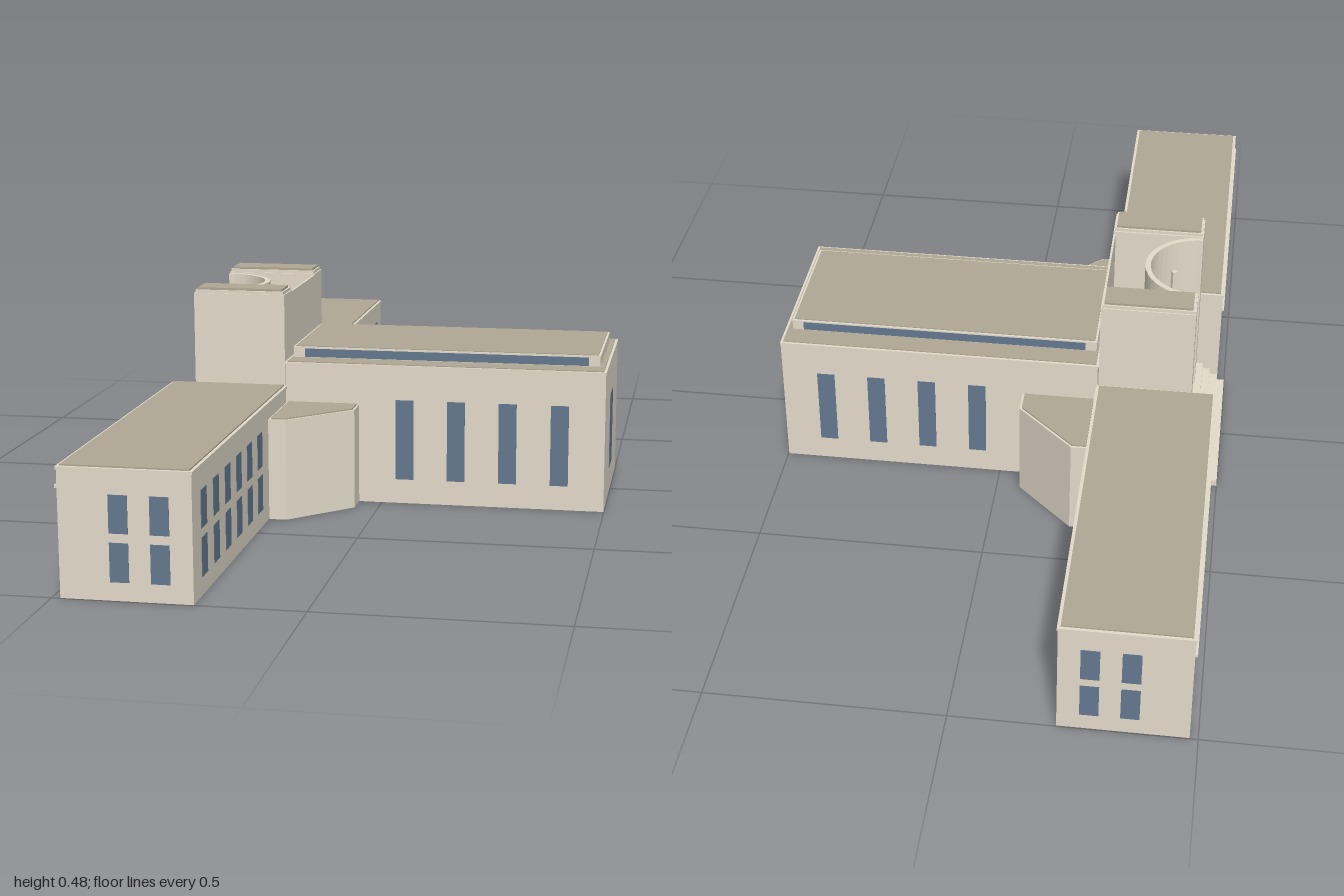
import * as THREE from 'three';

const material = (name, color, side = THREE.FrontSide) => {
  const m = new THREE.MeshStandardMaterial({ color, side });
  m.name = name;
  return m;
};

export function createModel() {
  const group = new THREE.Group();
  const stone = material('stone', 0xe4dccb, THREE.DoubleSide);
  const roof = material('roof', 0xb0a896);
  const glass = material('glass', 0x667990);

  const add = (name, geometry, mat) => {
    const mesh = new THREE.Mesh(geometry, mat);
    mesh.name = name;
    group.add(mesh);
    return mesh;
  };
  // Box given by its limits on each axis; hollow underneath when it stands on the ground
  const block = (name, x0, x1, y0, y1, z0, z1, mat = stone) => {
    const g = new THREE.BoxGeometry(x1 - x0, y1 - y0, Math.abs(z1 - z0));
    g.translate((x0 + x1) / 2, (y0 + y1) / 2, (z0 + z1) / 2);
    if (y0 === 0) {
      const faces = Array.from(g.index.array);
      faces.splice(18, 6);
      g.setIndex(faces);
      g.clearGroups();
    }
    return add(name, g, mat);
  };
  // Plan outline of [x, z] points raised from y0 to y1
  const prism = (name, points, y0, y1, mat = stone) => {
    const shape = new THREE.Shape(points.map(([x, z]) => new THREE.Vector2(x, -z)));
    const g = new THREE.ExtrudeGeometry(shape, { depth: y1 - y0, bevelEnabled: false });
    g.rotateX(-Math.PI / 2).translate(0, y0, 0);
    return add(name, g, mat);
  };
  const arc = (r, from, to, n = 24) => Array.from({ length: n + 1 }, (_, i) => {
    const a = from + (to - from) * i / n;
    return [-0.43 + r * Math.cos(a), r * Math.sin(a)];
  });
  const T = 0.001; // half thickness of window plates

  // Main hall
  block('hall', -0.22, 0.499, 0, 0.311, -0.207, 0.207);
  block('hallCornice', -0.222, 0.5, 0.311, 0.315, -0.208, 0.208);
  block('hallRoof', -0.216, 0.494, 0.315, 0.317, -0.202, 0.202, roof);
  block('clerestory', -0.212, 0.482, 0.315, 0.338, -0.151, 0.151);
  block('clerestoryCornice', -0.213, 0.483, 0.338, 0.341, -0.152, 0.152);
  block('clerestoryRoof', -0.208, 0.478, 0.341, 0.343, -0.147, 0.147, roof);
  block('hallEndWindow', 0.499 - T, 0.499 + T, 0.06, 0.232, -0.042, 0.042, glass);

  for (const s of [1, -1]) {
    // Hall side windows and clerestory strip
    for (let i = 0; i < 4; i++) {
      const x = 0.052 + i * 0.1157;
      block('hallWindow', x - 0.02, x + 0.02, 0.055, 0.237, s * (0.207 - T), s * (0.207 + T), glass);
    }
    block('clerestoryWindow', -0.187, 0.457, 0.318, 0.337, s * (0.151 - T), s * (0.151 + T), glass);

    // Corner pavilion with a slanted face
    const plan = [[-0.218, 0.2], [-0.052, 0.2], [-0.052, 0.262], [-0.18, 0.387], [-0.218, 0.387]];
    prism('cornerPavilion', plan.map(([x, z]) => [x, s * z]), 0, 0.223);
    const inner = [[-0.213, 0.208], [-0.057, 0.208], [-0.057, 0.26], [-0.182, 0.382], [-0.213, 0.382]];
    prism('pavilionRoof', inner.map(([x, z]) => [x, s * z]), 0.223, 0.226, roof);

    // Wing: recessed wall, entablature, end pier and inner pier
    block('wing', -0.43, -0.219, 0, 0.254, s * 0.2, s * 0.998);
    block('wingEntablature', -0.483, -0.43, 0.215, 0.254, s * 0.2, s * 0.998);
    block('wingStringCourse', -0.488, -0.483, 0.217, 0.223, s * 0.2, s * 0.998);
    block('wingCornice', -0.485, -0.217, 0.254, 0.26, s * 0.2, s);
    block('wingRoof', -0.478, -0.224, 0.26, 0.263, s * 0.207, s * 0.993, roof);
    block('wingEndPier', -0.483, -0.43, 0, 0.215, s * 0.966, s * 0.998);
    block('wingInnerPier', -0.483, -0.43, 0, 0.215, s * 0.2, s * 0.235);
    for (let i = 0; i < 10; i++) {
      const z = 0.29 + i * 0.068;
      block('colonnadePillar', -0.481, -0.454, 0, 0.215, s * (z - 0.013), s * (z + 0.013));
    }

    // Wing windows in two storeys
    for (const [y0, y1] of [[0.037, 0.115], [0.133, 0.209]]) {
      for (let i = 0; i < 6; i++) {
        const z = 0.463 + i * 0.0908;
        block('wingWindow', -0.219 - T, -0.219 + T, y0, y1, s * (z - 0.021), s * (z + 0.021), glass);
      }
      for (const x of [-0.364, -0.283]) {
        block('wingEndWindow', x - 0.019, x + 0.019, y0, y1, s * (0.998 - T), s * (0.998 + T), glass);
      }
    }

    // Tower pier with stepped cap
    block('towerPier', -0.43, -0.222, 0, 0.466, s * 0.122, s * 0.202);
    block('towerCapLower', -0.427, -0.225, 0.466, 0.473, s * 0.126, s * 0.199);
    block('towerCapUpper', -0.423, -0.229, 0.473, 0.478, s * 0.13, s * 0.195, roof);
  }

  // Thin wall closing the tower towards the hall
  block('towerRearWall', -0.227, -0.222, 0, 0.463, -0.122, 0.122);

  // Open entrance niche: curved wall, floor and slim pilasters
  const H = Math.PI / 2;
  prism('nicheWall', [...arc(0.125, -H, H), ...arc(0.113, H, -H)], 0, 0.463);
  prism('nicheFloor', arc(0.114, -H, H), 0.045, 0.06);
  for (const a of [-55, -20, 20, 55]) {
    const t = a * Math.PI / 180;
    const g = new THREE.BoxGeometry(0.012, 0.33, 0.012);
    g.rotateY(-t).translate(-0.43 + 0.109 * Math.cos(t), 0.225, 0.109 * Math.sin(t));
    add('nichePilaster', g, stone);
  }
  const centre = new THREE.CylinderGeometry(0.014, 0.014, 0.33, 16);
  add('nicheCentreColumn', centre.translate(-0.325, 0.225, 0), stone);

  // Entrance steps
  for (let i = 0; i < 4; i++) {
    block('entranceStep', -0.5 + i * 0.018, -0.428, i * 0.015, (i + 1) * 0.015, -0.2, 0.2);
  }

  return group;
}
